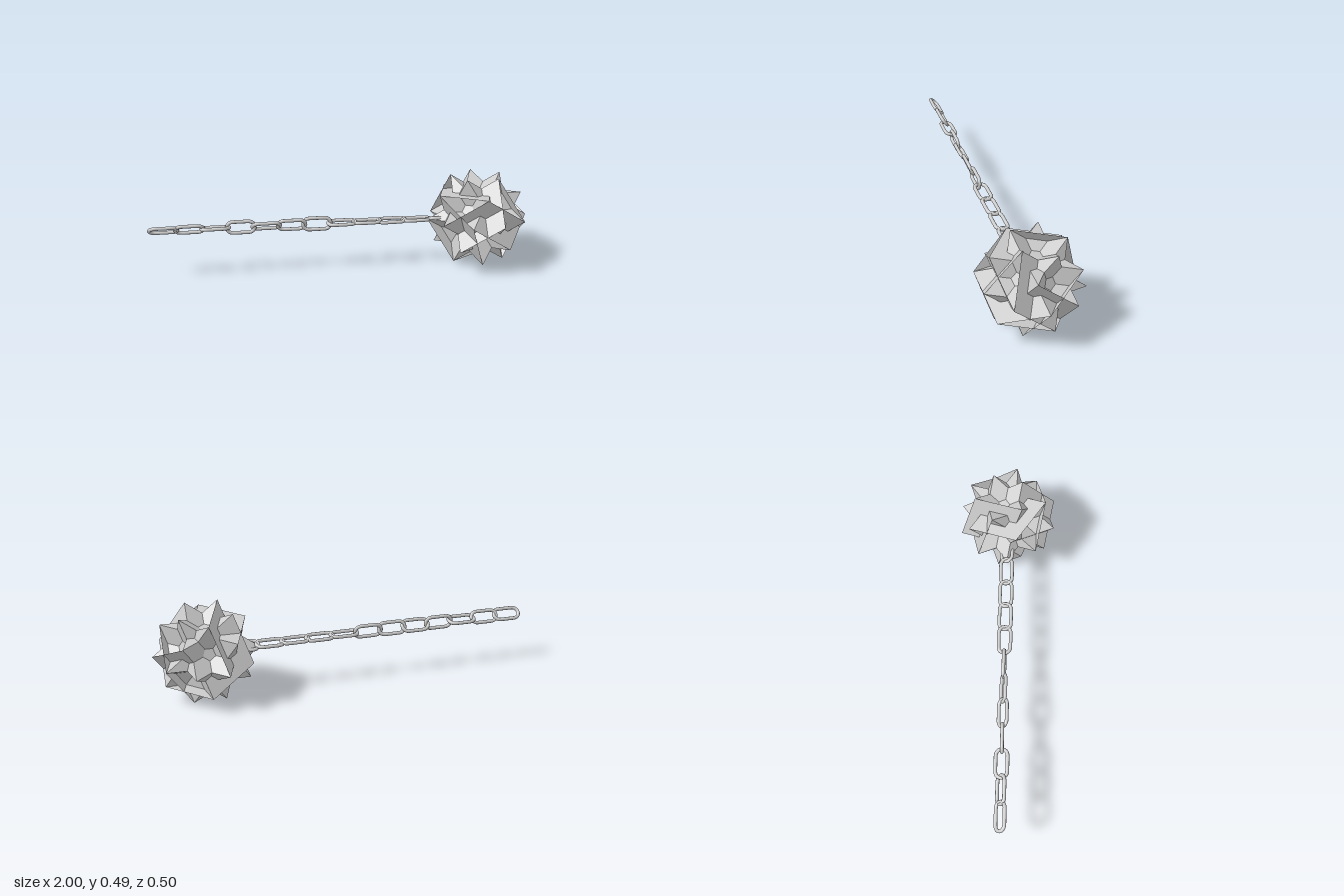
import * as THREE from 'three';

const PHI = (1 + Math.sqrt(5)) / 2;
const BALL_R = 0.268;
const V = (x, y, z) => new THREE.Vector3(x, y, z);

// All sign variants of a vector and its cyclic permutations
function cyclicSigns(a, b, c) {
  const out = [];
  for (const [x, y, z] of [[a, b, c], [b, c, a], [c, a, b]])
    for (const sx of [1, -1]) for (const sy of [1, -1]) for (const sz of [1, -1]) {
      const v = V(x * sx, y * sy, z * sz);
      if (!out.some(o => o.distanceTo(v) < 0.01)) out.push(v);
    }
  return out;
}

// Tips lying in the plane at distance d along n, in order around n
function ringAt(tips, n, d) {
  const ring = tips.filter(v => Math.abs(v.dot(n) - d) < 0.01);
  const u = ring[0].clone().addScaledVector(n, -d).normalize();
  const w = n.clone().cross(u);
  const angle = v => Math.atan2(v.dot(w), v.dot(u));
  return ring.sort((p, q) => angle(p) - angle(q));
}

// Star plates of the ball: plate normal, then the tip from which its two triangles fan out
const STARS = [
  [V(1, 0, PHI), V(-0.31, 0.5, 0.81)],
  [V(-1, 0, PHI), V(0.31, -0.5, 0.81)],
  [V(1, 0, -PHI), V(1, 0, 0)],
  [V(-1, 0, -PHI), V(-0.5, 0.81, -0.31)],
  [V(0, -PHI, 1), V(0, 0, 1)],
  [V(0, -PHI, -1), V(-0.81, -0.31, -0.5)],
  [V(0, PHI, 1), V(-0.81, 0.31, 0.5)],
  [V(0, PHI, -1), V(-0.5, 0.81, 0.31)],
  [V(PHI, -1, 0), V(0.31, -0.5, -0.81)],
  [V(PHI, 1, 0), V(0.31, 0.5, -0.81)],
  [V(-PHI, 1, 0), V(0, 1, 0)],
  [V(-PHI, -1, 0), V(-0.31, -0.5, 0.81)],
];

// Spiked ball: thirty tips joined by twenty triangles and twelve star plates that cross each other
function spikedBallGeometry() {
  const tips = [...cyclicSigns(1, 0, 0), ...cyclicSigns(PHI / 2, 0.5 / PHI, 0.5)];
  const pos = [];
  const tri = (...pts) => pts.forEach(p => pos.push(p.x * BALL_R, p.y * BALL_R, p.z * BALL_R));
  for (const n of [...cyclicSigns(1, 1, 1), ...cyclicSigns(PHI, 0, 1 / PHI)])
    tri(...ringAt(tips, n.normalize(), 0.3568));
  for (const [normal, first] of STARS) {
    const ring = ringAt(tips, normal.clone().normalize(), 0.5257);
    const s = ring.findIndex(p => p.distanceTo(first) < 0.1);
    const p = k => ring[(s + k) % 5];
    tri(p(0), p(2), p(4));
    tri(p(0), p(1), p(3));
  }
  const geo = new THREE.BufferGeometry();
  geo.setAttribute('position', new THREE.Float32BufferAttribute(pos, 3));
  geo.computeVertexNormals();
  return geo;
}

// Chain link: round wire bent into a stadium loop
function linkGeometry() {
  const bend = 0.031, half = 0.042, wire = 0.0095;
  const path = new THREE.CurvePath();
  const arc = (cx, start) => {
    const pts = [];
    for (let i = 0; i <= 8; i++) {
      const a = start + (i / 8) * Math.PI;
      pts.push(V(cx + Math.cos(a) * bend, Math.sin(a) * bend, 0));
    }
    return pts;
  };
  const pts = [...arc(half, -Math.PI / 2), ...arc(-half, Math.PI / 2)];
  pts.forEach((p, i) => path.add(new THREE.LineCurve3(p, pts[(i + 1) % pts.length])));
  const loop = new THREE.CatmullRomCurve3(path.getSpacedPoints(32).slice(0, 32), true);
  return new THREE.TubeGeometry(loop, 40, wire, 10, true);
}

export function createModel() {
  const model = new THREE.Group();
  model.name = 'spikedBallAndChain';
  const faceted = new THREE.MeshStandardMaterial({ color: 0xcccccc, flatShading: true, side: THREE.DoubleSide });
  const smooth = new THREE.MeshStandardMaterial({ color: 0xcccccc });

  // Ball, turned so one tip points along +x
  const ball = new THREE.Mesh(spikedBallGeometry(), faceted);
  ball.name = 'spikedBall';
  const e = V(0, 0.755, -0.656).normalize();
  const w = V(1, 0, 0);
  const f = w.clone().cross(e);
  ball.quaternion.setFromRotationMatrix(new THREE.Matrix4().makeBasis(e, f, w));
  ball.position.set(0.732, 0.2475, 0);
  model.add(ball);

  // Chain: each link is rolled about the chain's axis
  const chain = new THREE.Group();
  chain.name = 'chain';
  const rolls = [45, 35, 75, 0, 42, 20, -5, 88, 82, 86, 80, 65];
  const geo = linkGeometry();
  rolls.forEach((deg, i) => {
    const link = new THREE.Mesh(geo, smooth);
    link.name = 'chainLink' + (i + 1);
    link.position.set(-0.9175 + i * 0.132, 0.267 - i * 0.0015, 0);
    link.rotation.x = THREE.MathUtils.degToRad(deg);
    chain.add(link);
  });
  model.add(chain);
  return model;
}
